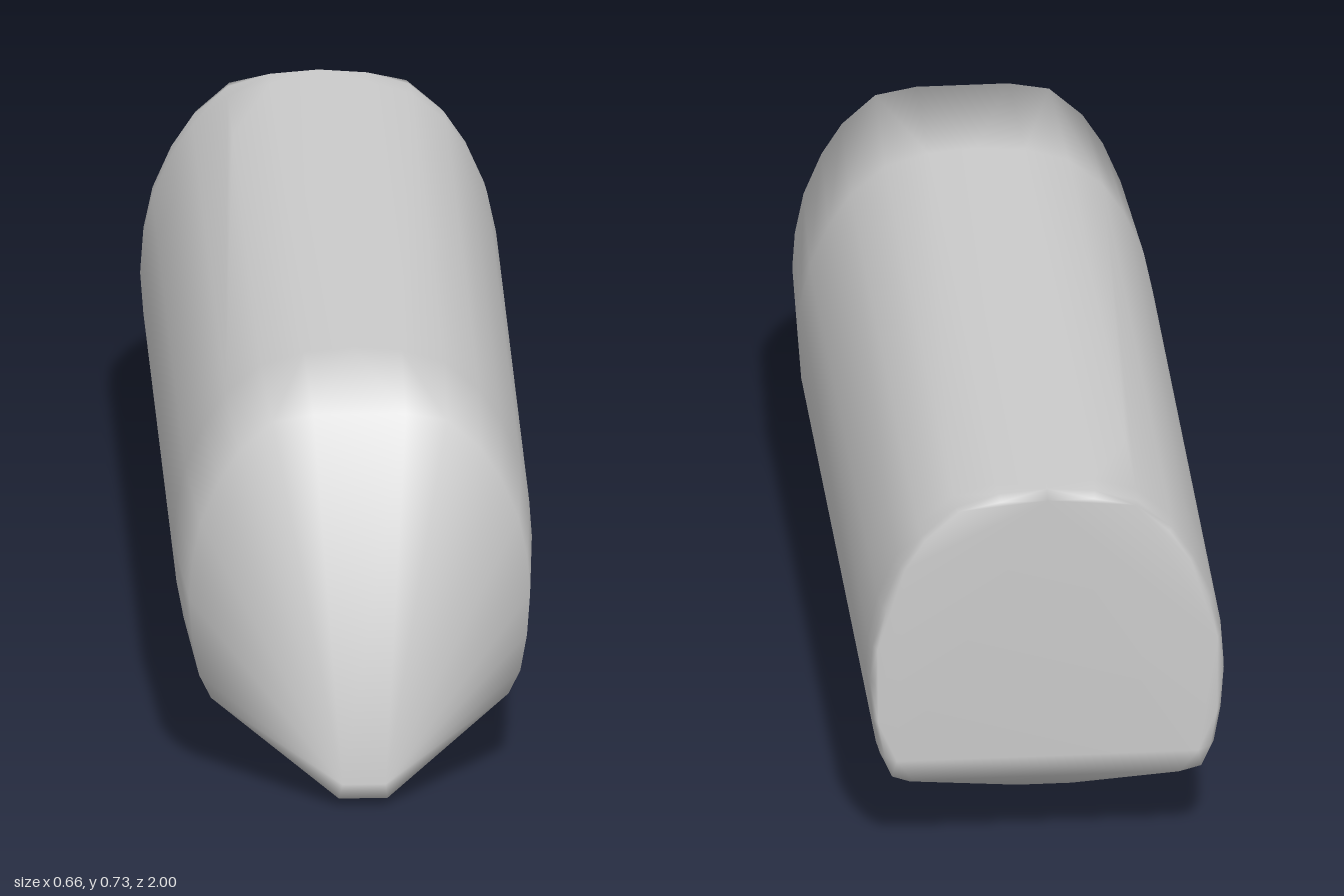
import * as THREE from 'three';
import { ConvexGeometry } from 'three/addons/geometries/ConvexGeometry.js';
import { mergeVertices } from 'three/addons/utils/BufferGeometryUtils.js';

// Half cross-section of the body, from the crown down to the lower side
const SECTION = [
  [0, 0.737], [0.09, 0.73], [0.17, 0.706], [0.235, 0.65], [0.275, 0.59], [0.31, 0.51],
  [0.327, 0.43], [0.332, 0.36], [0.326, 0.28], [0.313, 0.21], [0.29, 0.16], [0.25, 0.12],
];

// Rings along the length: z, width scale, highest y, lowest y of the sides
const RINGS = [
  [-1, 0.965, 0.722, 0.2],
  [-0.98, 0.99, 0.737, 0.15],
  [-0.93, 1, 0.737, 0.125],
  [-0.72, 1, 0.737, 0.12],
  [0.5, 1, 0.737, 0.12],
  [0.81, 0.95, 0.72, 0.165],
];

// Keel and nose pairs: half width, y, z
const KEEL = [
  [0.05, 0.11, -0.93], [0.05, 0.067, -0.72],
  [0.05, 0.003, 0.88], [0.045, 0.018, 0.96], [0.04, 0.06, 1],
];

export function createModel() {
  const group = new THREE.Group();
  const points = [];
  const addPair = (x, y, z) => {
    points.push(new THREE.Vector3(x, y, z));
    if (x > 0) points.push(new THREE.Vector3(-x, y, z));
  };

  for (const [z, widthScale, top, bottom] of RINGS) {
    for (const [x, y] of SECTION) {
      addPair(x * widthScale, THREE.MathUtils.clamp(y, bottom, top), z);
    }
  }
  for (const [x, y, z] of KEEL) addPair(x, y, z);

  // Skin stretched over the rings, keel and nose, with smooth shading
  const hull = new ConvexGeometry(points);
  hull.deleteAttribute('normal');
  const skin = mergeVertices(hull, 1e-4);
  skin.computeVertexNormals();

  const body = new THREE.Mesh(skin, new THREE.MeshStandardMaterial({ color: 0xcccccc }));
  body.name = 'body';
  group.add(body);
  return group;
}
